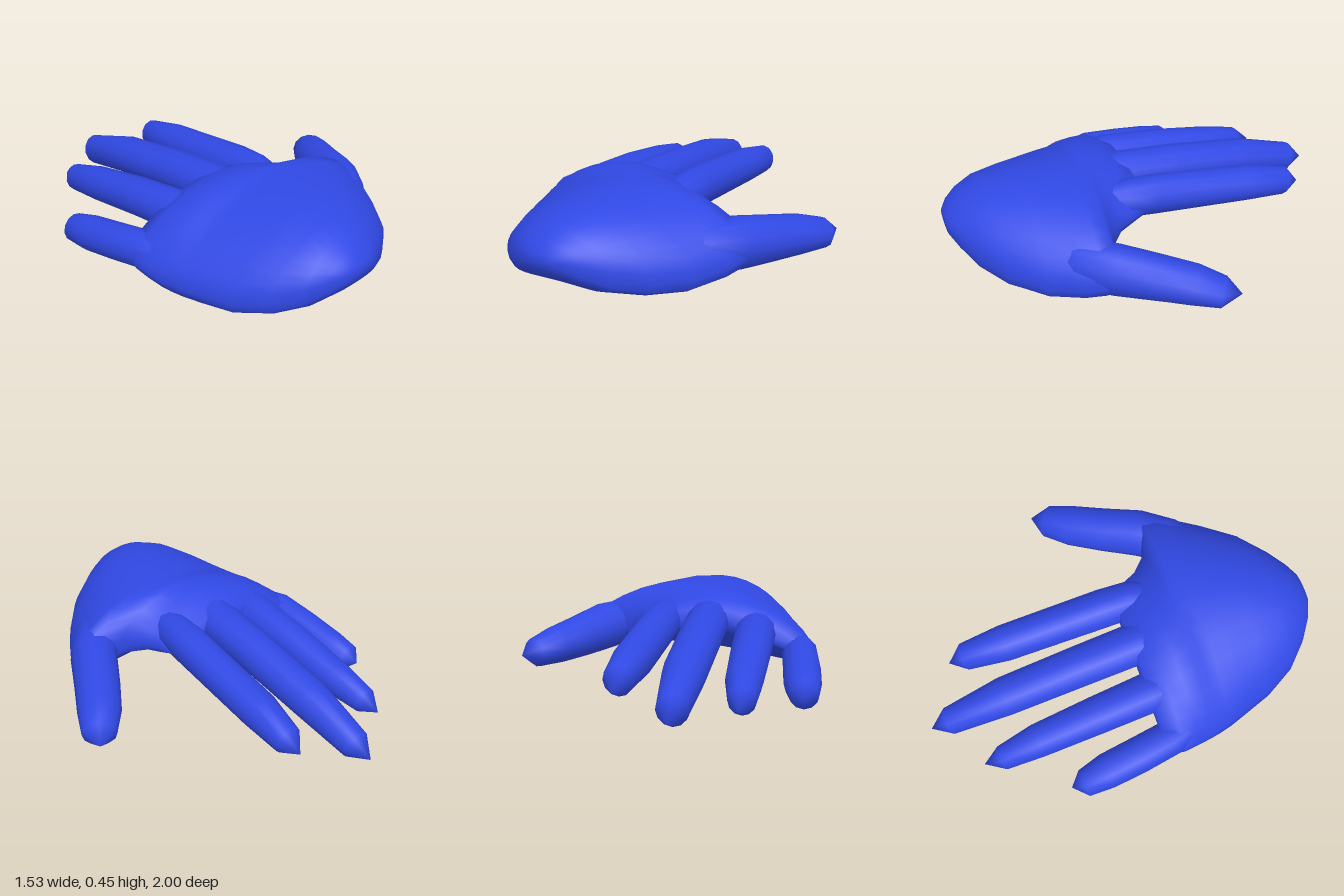
import * as THREE from 'three';

const skin = new THREE.MeshStandardMaterial({ color: 0x3048e4 });
skin.name = 'blue';

// Skin a list of equal-length rings, closing each end to a point
function loft(name, rings, start, end) {
  const n = rings[0].length, pos = [], index = [];
  rings.forEach(r => r.forEach(p => pos.push(p.x, p.y, p.z)));
  const s = rings.length * n, e = s + 1, last = (rings.length - 1) * n;
  pos.push(start.x, start.y, start.z, end.x, end.y, end.z);
  for (let j = 0; j < n; j++) {
    const k = (j + 1) % n;
    for (let i = 0; i < last; i += n) {
      index.push(i + j, i + n + j, i + k, i + k, i + n + j, i + n + k);
    }
    index.push(s, j, k, e, last + k, last + j);
  }
  const g = new THREE.BufferGeometry();
  g.setAttribute('position', new THREE.Float32BufferAttribute(pos, 3));
  g.setIndex(index);
  g.computeVertexNormals();
  const mesh = new THREE.Mesh(g, skin);
  mesh.name = name;
  return mesh;
}

// Arched palm: z, min x, max x, edge height at min x, edge height at max x, arch, half thickness
function palm() {
  const rows = [
    [0.995, -0.25, -0.08, 0.25, 0.25, 0.0, 0.04],
    [0.96, -0.33, 0.0, 0.225, 0.225, 0.025, 0.085],
    [0.9, -0.42, 0.11, 0.185, 0.185, 0.065, 0.13],
    [0.8, -0.52, 0.25, 0.145, 0.155, 0.115, 0.157],
    [0.65, -0.6, 0.38, 0.105, 0.135, 0.152, 0.172],
    [0.5, -0.65, 0.475, 0.1, 0.15, 0.152, 0.172],
    [0.41, -0.68, 0.52, 0.1, 0.17, 0.147, 0.168],
    [0.345, -0.695, 0.52, 0.1, 0.185, 0.142, 0.163],
    [0.3, -0.703, 0.29, 0.1, 0.225, 0.14, 0.145],
    [0.22, -0.715, 0.205, 0.11, 0.245, 0.125, 0.13],
    [0.14, -0.725, 0.17, 0.125, 0.25, 0.11, 0.108],
    [0.06, -0.7, 0.15, 0.14, 0.26, 0.105, 0.055],
  ];
  const n = 32;
  const rings = rows.map(([z, x0, x1, e0, e1, arch, h]) =>
    Array.from({ length: n }, (_, j) => {
      const a = (j / n) * Math.PI * 2, u = Math.cos(a), v = Math.sin(a);
      const mid = e0 + (e1 - e0) * (u + 1) / 2 + arch * (1 - u * u);
      const y = mid + h * Math.sign(v) * Math.abs(v) ** 0.78;
      return new THREE.Vector3((x0 + x1) / 2 + (x1 - x0) / 2 * u, y, z);
    }));
  return loft('palm', rings, new THREE.Vector3(-0.16, 0.25, 1), new THREE.Vector3(-0.27, 0.3, 0.05));
}

// Tapered digit: stations of x, y, z, half width, half height, then a pointed tip
function digit(name, stations, tip) {
  const n = 12, up = new THREE.Vector3(0, 1, 0);
  const c = stations.map(s => new THREE.Vector3(s[0], s[1], s[2]));
  const end = new THREE.Vector3(...tip);
  const path = [...c, end];
  const rings = stations.map(([, , , w, h], i) => {
    const t = path[i + 1].clone().sub(path[Math.max(i - 1, 0)]).normalize();
    const side = t.clone().cross(up).normalize(), top = side.clone().cross(t);
    return Array.from({ length: n }, (_, j) => {
      const a = (j / n) * Math.PI * 2;
      return c[i].clone().addScaledVector(side, w * Math.cos(a)).addScaledVector(top, h * Math.sin(a));
    });
  });
  return loft(name, rings, c[0], end);
}

export function createModel() {
  const hand = new THREE.Group();
  hand.name = 'hand';
  hand.add(
    palm(),
    digit('thumb', [
      [0.2, 0.24, 0.6, 0.07, 0.07],
      [0.33, 0.215, 0.47, 0.115, 0.115],
      [0.435, 0.2, 0.335, 0.118, 0.128],
      [0.53, 0.175, 0.17, 0.113, 0.112],
      [0.622, 0.155, 0.02, 0.107, 0.096],
      [0.7, 0.135, -0.09, 0.084, 0.074],
    ], [0.745, 0.135, -0.163]),
    digit('indexFinger', [
      [0.03, 0.31, 0.35, 0.06, 0.06],
      [0.06, 0.3, 0.14, 0.095, 0.096],
      [0.067, 0.29, 0.0, 0.099, 0.1],
      [0.085, 0.23, -0.52, 0.095, 0.092],
      [0.098, 0.195, -0.73, 0.07, 0.076],
    ], [0.1, 0.17, -0.815]),
    digit('middleFinger', [
      [-0.165, 0.32, 0.35, 0.08, 0.07],
      [-0.17, 0.305, 0.1, 0.11, 0.1],
      [-0.172, 0.27, -0.2, 0.107, 0.1],
      [-0.173, 0.21, -0.6, 0.102, 0.096],
      [-0.175, 0.13, -0.9, 0.071, 0.08],
    ], [-0.175, 0.105, -1]),
    digit('ringFinger', [
      [-0.38, 0.27, 0.35, 0.07, 0.06],
      [-0.413, 0.255, 0.08, 0.104, 0.1],
      [-0.422, 0.22, -0.2, 0.098, 0.096],
      [-0.43, 0.165, -0.52, 0.087, 0.088],
      [-0.443, 0.13, -0.71, 0.063, 0.07],
    ], [-0.44, 0.115, -0.805]),
    digit('littleFinger', [
      [-0.56, 0.18, 0.35, 0.06, 0.05],
      [-0.638, 0.15, 0.1, 0.09, 0.092],
      [-0.66, 0.12, -0.08, 0.092, 0.09],
      [-0.675, 0.09, -0.25, 0.09, 0.088],
      [-0.69, 0.074, -0.375, 0.07, 0.072],
    ], [-0.69, 0.075, -0.44]),
  );
  return hand;
}
